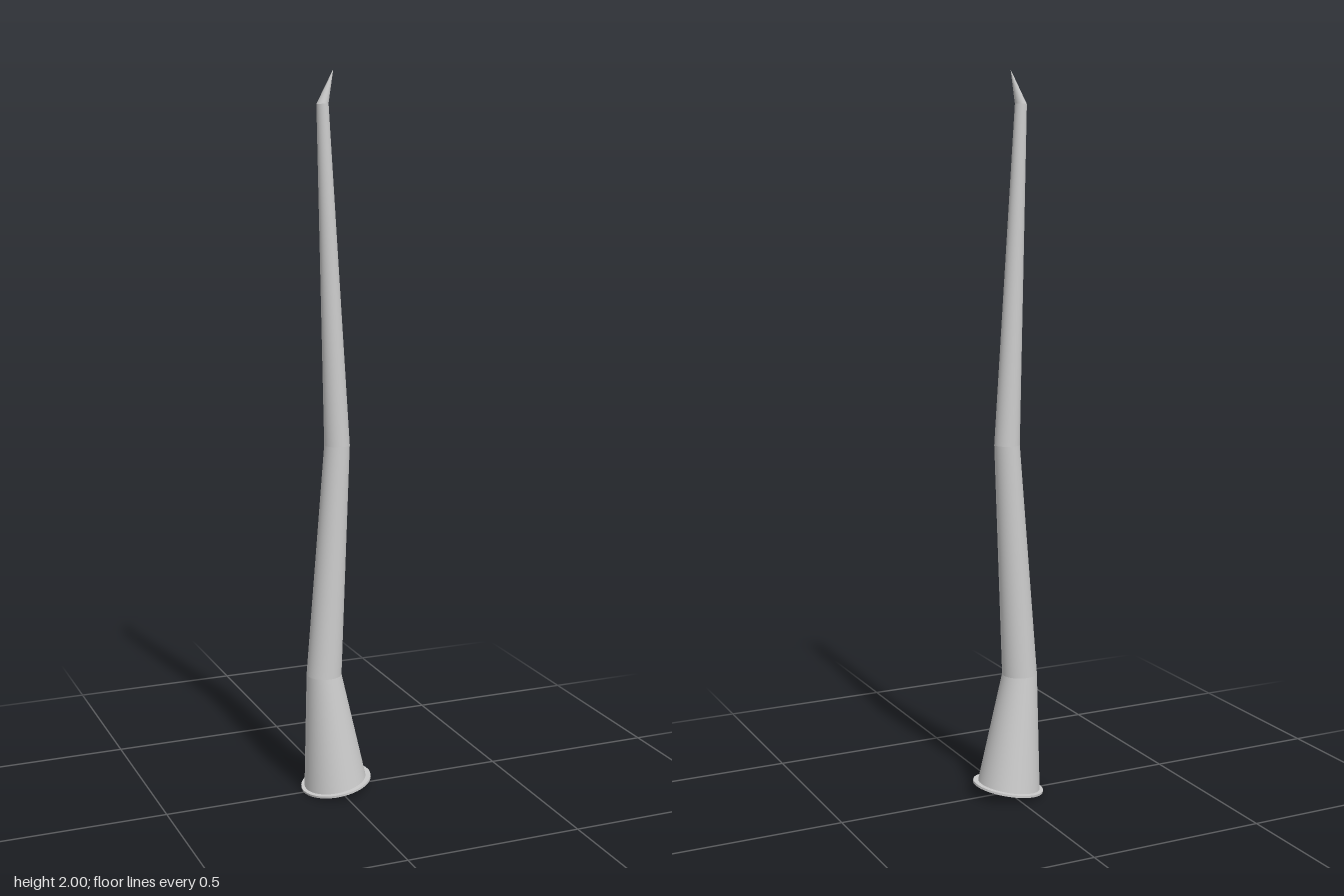
import * as THREE from 'three';

const SIDES = 48;
const material = new THREE.MeshStandardMaterial({ color: 0xcccccc });

// Cross-sections from the root up: centre x, centre y, radius, tilt about z
const sections = [
  { x: -0.003, y: 0.027, r: 0.088, tilt: 0.175 },
  { x: -0.036, y: 0.347, r: 0.049, tilt: 0 },
  { x: 0.003, y: 1.0, r: 0.035, tilt: 0 },
  { x: -0.038, y: 1.913, r: 0.016, tilt: 0.06 },
  { x: -0.008, y: 2.0, r: 0.0003, tilt: 0 },
];

// Slides, scales and tilts the rings of an open cylinder to join two sections
function segment(name, a, b) {
  const geometry = new THREE.CylinderGeometry(1, 1, 1, SIDES, 1, true);
  const p = geometry.attributes.position;
  for (let i = 0; i < p.count; i++) {
    const s = p.getY(i) < 0 ? a : b;
    const across = p.getX(i) * s.r;
    p.setXYZ(i, s.x + across * Math.cos(s.tilt), s.y + across * Math.sin(s.tilt), p.getZ(i) * s.r);
  }
  // Smooth normals from the bent surface, joined across the seam
  geometry.computeVertexNormals();
  const n = geometry.attributes.normal;
  for (let row = 0; row < 2; row++) {
    const first = row * (SIDES + 1), last = first + SIDES;
    const sum = new THREE.Vector3().fromBufferAttribute(n, first)
      .add(new THREE.Vector3().fromBufferAttribute(n, last)).normalize();
    n.setXYZ(first, sum.x, sum.y, sum.z);
    n.setXYZ(last, sum.x, sum.y, sum.z);
  }
  const mesh = new THREE.Mesh(geometry, material);
  mesh.name = name;
  return mesh;
}

export function createModel() {
  const model = new THREE.Group();
  model.name = 'bentSpike';

  // Thin tilted disc at the root
  const flange = new THREE.Mesh(new THREE.CylinderGeometry(0.1, 0.1, 0.006, SIDES), material);
  flange.name = 'baseFlange';
  flange.position.set(0, 0.0235, 0);
  flange.rotation.z = 0.175;
  model.add(flange);

  // Flared root, two bent shaft lengths and the slanted point
  ['flaredRoot', 'lowerShaft', 'upperShaft', 'slantedTip'].forEach((name, i) =>
    model.add(segment(name, sections[i], sections[i + 1])));

  return model;
}
